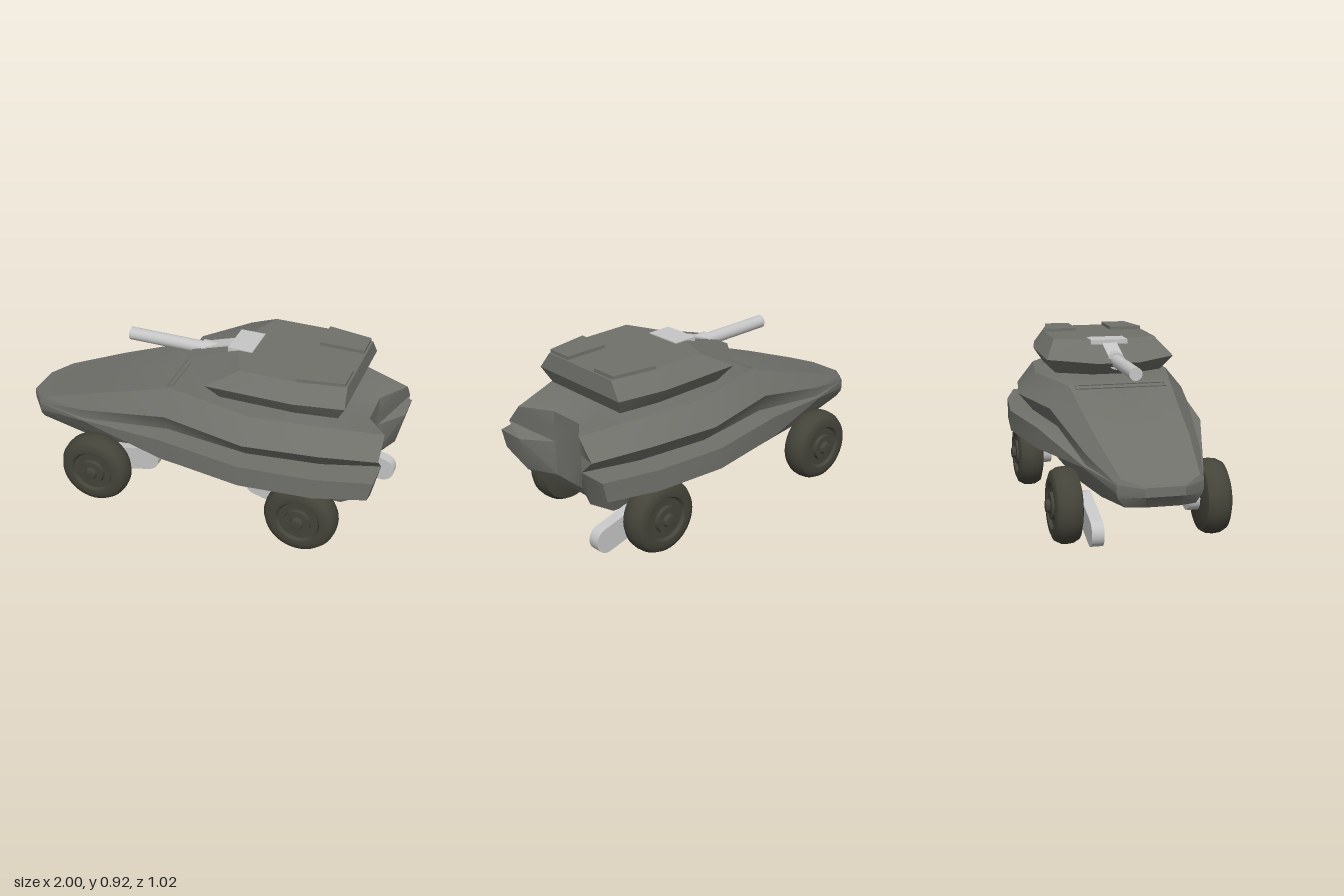
import * as THREE from 'three';
import { toCreasedNormals } from 'three/addons/utils/BufferGeometryUtils.js';

const mat = (name, color) => {
  const m = new THREE.MeshStandardMaterial({ color });
  m.name = name;
  return m;
};

// Joins rows of [x, y, z] points into quads, mirrored across z
function skin(out, rows) {
  const flip = (p) => [p[0], p[1], -p[2]];
  for (let i = 0; i < rows.length - 1; i++) {
    for (let j = 0; j < rows[i].length - 1; j++) {
      const a = rows[i][j], b = rows[i][j + 1], c = rows[i + 1][j + 1], d = rows[i + 1][j];
      out.push(a, b, c, a, c, d);
      out.push(...[a, c, b, a, d, c].map(flip));
    }
  }
}

function toGeometry(points, crease) {
  const g = new THREE.BufferGeometry();
  g.setAttribute('position', new THREE.Float32BufferAttribute(points.flat(), 3));
  return toCreasedNormals(g, crease);
}

// Hull: deck edge, bulge, crease, shelf top, shelf bottom, lower side, floor edge
function hullGeometry() {
  const section = (x, ...zy) => zy.map(([z, y, px = x]) => [px, y, z]);
  const sections = [
    section(-1, [0.09, 0.4], [0.095, 0.395], [0.095, 0.39], [0.095, 0.385], [0.095, 0.355], [0.09, 0.35, -0.99], [0.08, 0.295, -0.95]),
    section(-0.91, [0.19, 0.425], [0.207, 0.4], [0.208, 0.397], [0.208, 0.393], [0.208, 0.355], [0.2, 0.33], [0.17, 0.29]),
    section(-0.6, [0.23, 0.54], [0.285, 0.47], [0.287, 0.42], [0.3, 0.416], [0.3, 0.408], [0.27, 0.36], [0.21, 0.258]),
    section(-0.1, [0.27, 0.715], [0.37, 0.6], [0.33, 0.505], [0.44, 0.505], [0.44, 0.395], [0.3, 0.355], [0.24, 0.225]),
    section(0.35, [0.37, 0.715], [0.465, 0.6], [0.385, 0.505], [0.51, 0.505], [0.51, 0.395], [0.32, 0.355], [0.25, 0.225]),
    section(0.72, [0.325, 0.715], [0.415, 0.6], [0.335, 0.505], [0.475, 0.505], [0.475, 0.395], [0.29, 0.35], [0.24, 0.225]),
    section(1, [0.235, 0.685], [0.325, 0.58], [0.245, 0.505], [0.4, 0.505], [0.4, 0.4, 0.975], [0.25, 0.325, 0.96], [0.235, 0.225, 0.81]),
  ];
  const last = sections.length - 1;
  const notch = (z) => [[0.89, 0.67, z], [0.89, 0.58, z], [0.89, 0.505, z], [0.89, 0.325, z], [0.81, 0.225, z]];
  const rows = sections.map((s, i) => {
    const top = s[0], low = s[6];
    const tx = i === last ? 0.89 : top[0], ty = i === last ? 0.67 : top[1];
    const inner = Math.min(0.1, top[2] * 0.6);
    return [[tx, ty, 0], [tx, ty, inner], ...s, [low[0], low[1], 0]];
  });
  const out = [];
  skin(out, rows);
  // Nose cap
  const nose = sections[0];
  skin(out, [nose.map((p) => [p[0], p[1], 0]), nose]);
  // Notched rear face and shelf ends
  const [B, C, D, E, F, G, H] = sections[last];
  skin(out, [[B, C, D, G, H], notch(0.1), notch(0)]);
  skin(out, [[E, F], [D, G]]);
  return toGeometry(out, 0.5);
}

// Turret: four stations, each with top, middle and bottom corners
function turretGeometry() {
  const stations = [
    [[0.2, 0.908, 0.11], [-0.08, 0.82, 0.11], [0.07, 0.74, 0.11]],
    [[0.27, 0.908, 0.28], [0.11, 0.82, 0.345], [0.17, 0.74, 0.29]],
    [[0.56, 0.908, 0.28], [0.56, 0.82, 0.345], [0.56, 0.74, 0.29]],
    [[0.8, 0.908, 0.235], [0.81, 0.82, 0.3], [0.77, 0.74, 0.26]],
  ];
  const centre = (s) => s.map((p) => [p[0], p[1], 0]);
  const out = [];
  skin(out, stations.map((s) => [centre(s)[0], ...s, centre(s)[2]]));
  skin(out, [centre(stations[0]), stations[0]]);
  skin(out, [stations[3], centre(stations[3])]);
  return toGeometry(out, 0.3);
}

export function createModel() {
  const model = new THREE.Group();
  model.name = 'armouredVehicle';
  const armour = mat('armourGrey', 0x71716c);
  const rubber = mat('tyreOlive', 0x45443a);
  const metal = mat('lightMetal', 0xc6c6c6);

  const add = (name, geometry, material, x = 0, y = 0, z = 0) => {
    const m = new THREE.Mesh(geometry, material);
    m.name = name;
    m.position.set(x, y, z);
    model.add(m);
    return m;
  };

  add('hull', hullGeometry(), armour);
  add('turret', turretGeometry(), armour);
  const ring = add('turretRing', new THREE.CylinderGeometry(0.165, 0.165, 0.04, 24), armour, 0.44, 0.729, 0);
  ring.scale.z = 1.18;

  // Driver's slot frame on the sloping deck
  const slot = new THREE.Group();
  slot.name = 'driverSlot';
  slot.position.set(-0.12, 0.709, 0);
  slot.rotation.z = 0.337;
  for (const [w, d, x, z] of [[0.008, 0.48, -0.018, 0], [0.008, 0.48, 0.018, 0], [0.04, 0.008, 0, 0.236], [0.04, 0.008, 0, -0.236]]) {
    const bar = new THREE.Mesh(new THREE.BoxGeometry(w, 0.009, d), armour);
    bar.name = 'slotFrame';
    bar.position.set(x, 0, z);
    slot.add(bar);
  }
  model.add(slot);

  // Roof hatches
  for (const s of [1, -1]) {
    const shape = new THREE.Shape([[0.56, 0.1], [0.79, 0.1], [0.79, 0.237], [0.56, 0.278]].map(([x, z]) => new THREE.Vector2(x, s * z)));
    const g = new THREE.ExtrudeGeometry(shape, { depth: 0.022, bevelEnabled: false }).rotateX(-Math.PI / 2);
    add('roofHatch', g, armour, 0, 0.903, 0);
  }

  // Gun
  const tube = (r, x0, x1) => new THREE.CylinderGeometry(r, r, x1 - x0, 20).rotateZ(Math.PI / 2).translate((x0 + x1) / 2, 0, 0);
  add('gunBarrel', tube(0.034, -0.44, 0), metal, 0, 0.823, 0);
  add('gunSleeve', tube(0.045, -0.03, 0.14), metal, 0, 0.822, 0);
  const cover = add('sleeveCover', new THREE.BoxGeometry(0.16, 0.012, 0.08), metal, 0.072, 0.868, 0);
  cover.rotation.z = 0.304;
  add('gunMantlet', new THREE.BoxGeometry(0.13, 0.06, 0.2), metal, 0.205, 0.883, 0);

  // Wheels with hubs
  const profile = [[0, -0.07], [0.13, -0.07], [0.172, -0.058], [0.188, -0.03], [0.191, 0], [0.188, 0.03], [0.172, 0.06],
    [0.14, 0.073], [0.115, 0.07], [0.105, 0.055], [0.07, 0.055], [0.066, 0.074], [0.035, 0.075], [0.028, 0.095], [0, 0.1]];
  const wheel = toCreasedNormals(new THREE.LatheGeometry(profile.map(([r, h]) => new THREE.Vector2(r, h)), 40).toNonIndexed(), 0.7).rotateX(Math.PI / 2);

  // Swing arm: rounded bar from the axle to its pivot
  const armGeometry = (length) => {
    const r = 0.066, s = new THREE.Shape();
    s.absarc(0, 0, r, Math.PI / 2, Math.PI * 1.5, false);
    s.absarc(length, 0, r, -Math.PI / 2, Math.PI / 2, false);
    return new THREE.ExtrudeGeometry(s, { depth: 0.06, bevelEnabled: false, curveSegments: 16 });
  };

  for (const axle of [-0.495, 0.645]) {
    const forward = axle < 0 ? 1 : -1;
    for (const side of [1, -1]) {
      const w = add(axle < 0 ? 'frontWheel' : 'rearWheel', wheel, rubber, axle, 0.198, side * 0.372);
      if (side < 0) w.rotation.y = Math.PI;
      const dx = 0.26 * forward * side, dy = 0.068 * side;
      const arm = add('swingArm', armGeometry(Math.hypot(dx, dy)), metal, axle, 0.198, side > 0 ? 0.244 : -0.304);
      arm.rotation.z = Math.atan2(dy, dx);
    }
  }
  return model;
}
